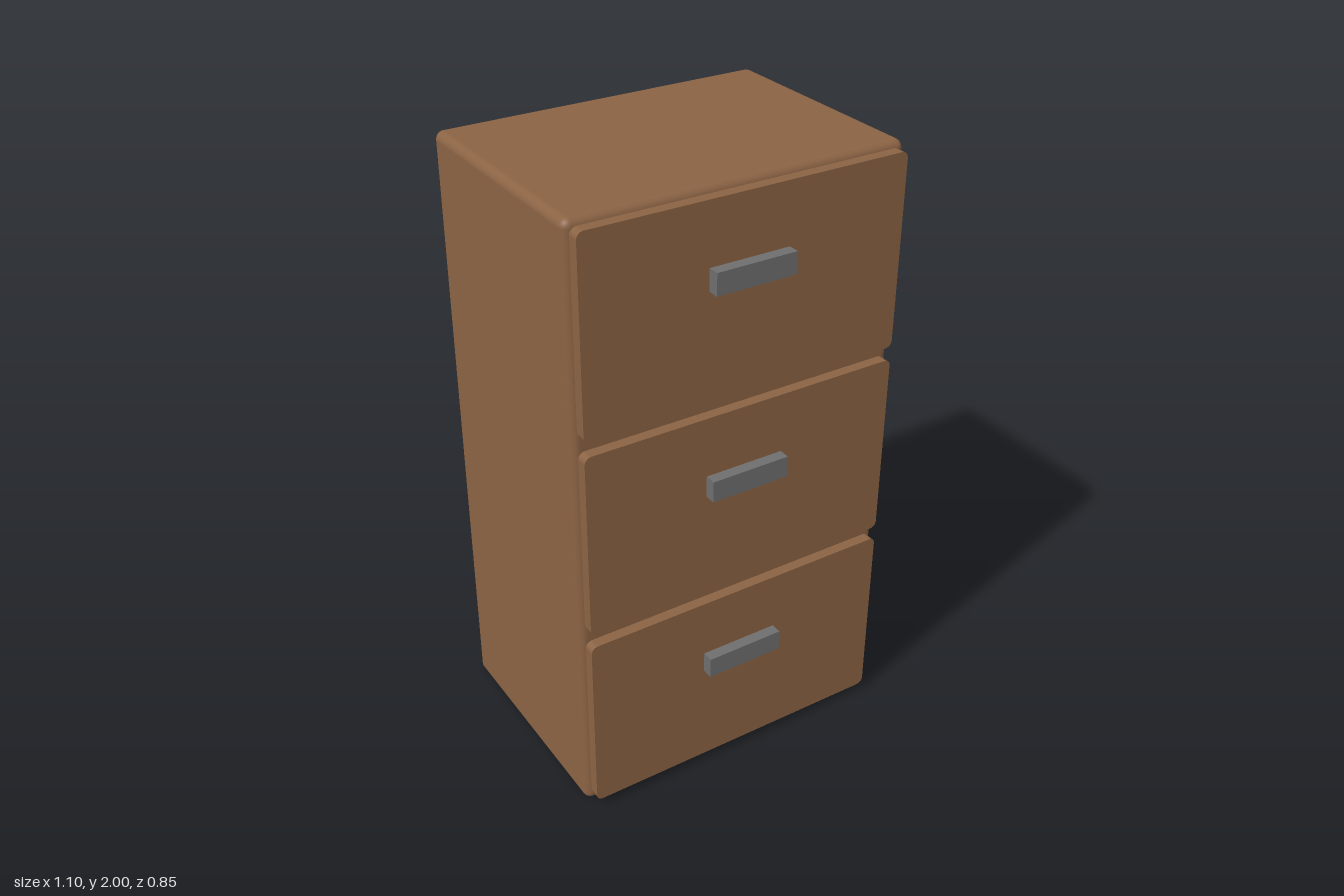
import * as THREE from 'three';
import { RoundedBoxGeometry } from 'three/addons/geometries/RoundedBoxGeometry.js';

// Rounded rectangle centred on the origin
function roundedRect(w, h, r) {
  const x = w / 2 - r, y = h / 2 - r;
  const s = new THREE.Shape();
  s.absarc(x, y, r, 0, Math.PI / 2);
  s.absarc(-x, y, r, Math.PI / 2, Math.PI);
  s.absarc(-x, -y, r, Math.PI, Math.PI * 1.5);
  s.absarc(x, -y, r, Math.PI * 1.5, Math.PI * 2);
  s.closePath();
  return s;
}

export function createModel() {
  const wood = new THREE.MeshStandardMaterial({ color: 0x8b6344 });
  wood.name = 'brown wood';
  const metal = new THREE.MeshStandardMaterial({ color: 0x6e6e6e });
  metal.name = 'grey metal';

  const model = new THREE.Group();
  model.name = 'drawerCabinet';

  // Cabinet body with softly rounded edges
  const bodyBack = -0.427, bodyFront = 0.355;
  const body = new THREE.Mesh(
    new RoundedBoxGeometry(1.1, 2, bodyFront - bodyBack, 4, 0.027), wood);
  body.name = 'cabinetBody';
  body.position.set(0, 1, (bodyFront + bodyBack) / 2);
  model.add(body);

  // Three drawers: flat front panel with rounded corners, and a bar handle
  const panelFront = 0.39, panelBack = 0.345, handleDepth = 0.037;
  const panelGeometry = new THREE.ExtrudeGeometry(roundedRect(1.064, 0.622, 0.022),
    { depth: panelFront - panelBack, bevelEnabled: false, curveSegments: 5 });
  const handleGeometry = new THREE.BoxGeometry(0.264, 0.07, handleDepth);

  for (let i = 0; i < 3; i++) {
    const drawer = new THREE.Group();
    drawer.name = 'drawer' + (i + 1);
    drawer.position.y = 0.338 + i * 0.6655;

    const panel = new THREE.Mesh(panelGeometry, wood);
    panel.name = 'drawerFront';
    panel.position.z = panelBack;

    const handle = new THREE.Mesh(handleGeometry, metal);
    handle.name = 'handle';
    handle.position.set(0, 0.08, panelFront + handleDepth / 2);

    drawer.add(panel, handle);
    model.add(drawer);
  }
  return model;
}
